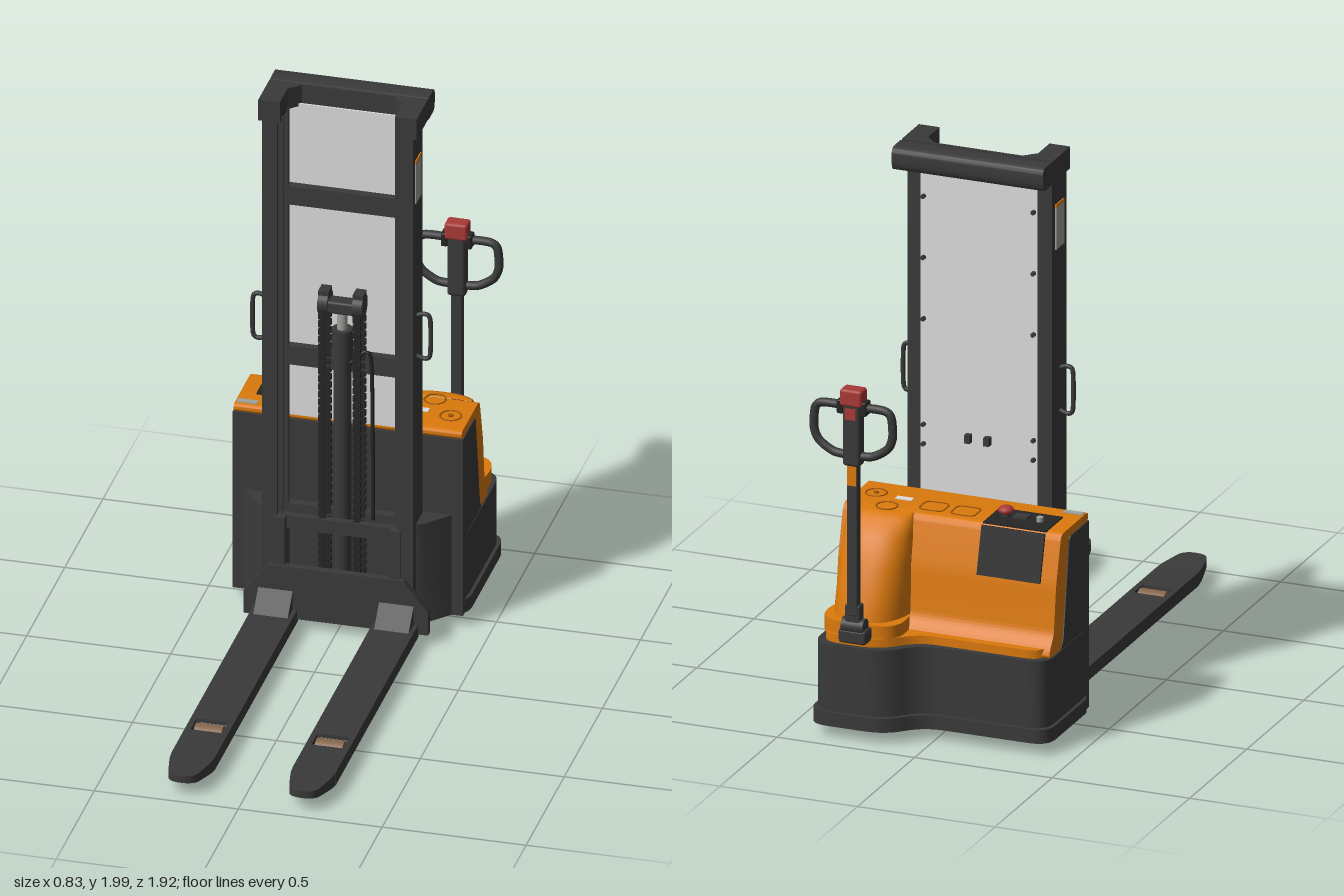
import * as THREE from 'three';
import { mergeGeometries, toCreasedNormals } from 'three/addons/utils/BufferGeometryUtils.js';
import { RoundedBoxGeometry } from 'three/addons/geometries/RoundedBoxGeometry.js';

const paint = (name, color, side = THREE.FrontSide) => {
  const m = new THREE.MeshStandardMaterial({ color, side });
  m.name = name;
  return m;
};

export function createModel() {
  const root = new THREE.Group();
  root.name = 'palletStacker';
  const dark = paint('charcoal', 0x3a3a3a);
  const black = paint('black', 0x262626);
  const orange = paint('orange', 0xdc7a0c);
  const seam = paint('seamOrange', 0x9a5508);
  const clear = paint('paleScreen', 0xdedede);
  const grey = paint('labelGrey', 0xa0a09c);
  const red = paint('red', 0xa83a36);
  const brown = paint('rollerBrown', 0x86664c);

  const add = (name, geo, mat, x = 0, y = 0, z = 0) => {
    const m = new THREE.Mesh(geo, mat);
    m.name = name;
    m.position.set(x, y, z);
    root.add(m);
    return m;
  };
  // Box given by its limits
  const box = (name, mat, x0, x1, y0, y1, z0, z1, r = 0) => {
    const s = [x1 - x0, y1 - y0, z1 - z0];
    const g = r ? new RoundedBoxGeometry(...s, 2, r) : new THREE.BoxGeometry(...s);
    return add(name, g, mat, (x0 + x1) / 2, (y0 + y1) / 2, (z0 + z1) / 2);
  };
  const cylX = (name, mat, r, w, x, y, z) =>
    add(name, new THREE.CylinderGeometry(r, r, w, 28).rotateZ(Math.PI / 2), mat, x, y, z);
  const cylY = (name, mat, r, y0, y1, x, z) =>
    add(name, new THREE.CylinderGeometry(r, r, y1 - y0, 24), mat, x, (y0 + y1) / 2, z);
  // Polygon with rounded corners
  const rounded = (pts, r) => {
    const s = new THREE.Shape(), n = pts.length;
    const v = pts.map(p => new THREE.Vector2(...p));
    v.forEach((p, i) => {
      const a = v[(i + n - 1) % n], b = v[(i + 1) % n];
      const k = Math.min(r, p.distanceTo(a) / 2.1, p.distanceTo(b) / 2.1);
      const s0 = p.clone().add(a.clone().sub(p).setLength(k));
      const s1 = p.clone().add(b.clone().sub(p).setLength(k));
      i ? s.lineTo(s0.x, s0.y) : s.moveTo(s0.x, s0.y);
      s.quadraticCurveTo(p.x, p.y, s1.x, s1.y);
    });
    s.closePath();
    return s;
  };
  const poly = pts => new THREE.Shape(pts.map(p => new THREE.Vector2(...p)));
  const extrude = (shape, depth) =>
    toCreasedNormals(new THREE.ExtrudeGeometry(shape, { depth, bevelEnabled: false, curveSegments: 8 }), 0.6);
  // Plan shapes are drawn as (x, -z), side shapes as (-z, y)
  const plan = (shape, y0, y1) => extrude(shape, y1 - y0).rotateX(-Math.PI / 2).translate(0, y0, 0);
  const side = (shape, x0, x1) => extrude(shape, x1 - x0).rotateY(Math.PI / 2).translate(x0, 0, 0);
  const tube = (pts, r, closed = false) => new THREE.TubeGeometry(
    new THREE.CatmullRomCurve3(pts.map(p => new THREE.Vector3(...p)), closed, 'catmullrom', 0.4), 40, r, 10, closed);

  // Chassis, bumper and orange skirt share one outline with an offset
  const outline = o => rounded([[-0.4 - o, 0.44], [0.4 + o, 0.44], [0.4 + o, 0.925 + o], [0.15 - o, 0.925 + o],
    [0.05 - o, 0.815 + o], [-0.4 - o, 0.815 + o]], 0.07);
  add('chassis', plan(outline(0.002), 0.06, 0.34), dark);
  add('bumper', plan(outline(0.014), 0.05, 0.1), dark);
  add('underside', plan(outline(-0.02), 0.04, 0.05), black);
  add('hoodSkirt', plan(outline(-0.018), 0.34, 0.37), orange);

  // Dark front cowl and orange hood
  add('frontCowl', side(poly([[0.435, 0.05], [0.68, 0.05], [0.68, 0.34], [0.66, 0.37], [0.605, 0.71], [0.595, 0.72],
    [0.435, 0.72]]), -0.4, 0.4), dark);
  add('hood', side(rounded([[0.435, 0.72], [0.58, 0.72], [0.58, 0.34], [0.78, 0.34], [0.765, 0.375], [0.735, 0.41],
    [0.715, 0.58], [0.67, 0.75], [0.435, 0.75]], 0.025), -0.396, 0.396), orange);

  // Bulged motor cover, lofted downward from the hood top
  const levels = [[0.749, 0.66, 0.115], [0.749, 0.69, 0.115], [0.735, 0.725, 0.12], [0.68, 0.775, 0.125],
    [0.58, 0.825, 0.13], [0.48, 0.86, 0.134], [0.41, 0.88, 0.136], [0.36, 0.885, 0.137]];
  const pos = [], idx = [], N = 28;
  levels.forEach(([y, back, hw], i) => {
    for (let j = 0; j <= N; j++) {
      const a = Math.PI * j / N, c = Math.cos(a);
      pos.push(0.258 - Math.sign(c) * Math.abs(c) ** 0.8 * hw, y, -0.655 - (back - 0.655) * Math.sin(a) ** 0.75);
      if (i && j < N) {
        const p = (i - 1) * (N + 1) + j, q = p + N + 1;
        idx.push(p, p + 1, q, p + 1, q + 1, q);
      }
    }
  });
  const bulge = new THREE.BufferGeometry();
  bulge.setAttribute('position', new THREE.Float32BufferAttribute(pos, 3));
  bulge.setIndex(idx);
  add('motorCover', toCreasedNormals(bulge, 0.8), orange);
  add('motorCoverCollar', plan(rounded([[0.115, 0.7], [0.398, 0.7], [0.398, 0.895], [0.115, 0.895]], 0.11), 0.36, 0.415), orange);

  // Hood details
  box('controlPanelTop', black, -0.34, -0.11, 0.748, 0.754, -0.665, -0.52);
  const flap = box('controlPanelBack', black, -0.34, -0.11, -0.085, 0.085, -0.004, 0.004);
  flap.position.set(-0.225, 0.665, -0.698);
  flap.rotation.x = 0.26;
  box('controlDisplay', dark, -0.24, -0.19, 0.754, 0.762, -0.6, -0.56);
  cylY('keySwitch', grey, 0.012, 0.75, 0.77, -0.285, -0.59);
  cylY('stopButtonStem', dark, 0.014, 0.75, 0.772, -0.16, -0.585);
  add('stopButton', new THREE.SphereGeometry(0.027, 20, 12).scale(1, 0.6, 1), red, -0.16, 0.776, -0.585);
  for (const x of [-0.015, 0.1]) {
    const t = rounded([[x - 0.046, 0.545], [x + 0.046, 0.545], [x + 0.046, 0.63], [x - 0.046, 0.63]], 0.025);
    t.holes.push(rounded([[x - 0.041, 0.55], [x + 0.041, 0.55], [x + 0.041, 0.625], [x - 0.041, 0.625]], 0.022));
    add('trayOutline', plan(t, 0.747, 0.752), seam);
  }
  for (const [x, z] of [[0.25, -0.64], [0.33, -0.54]])
    add('fillerCapRing', new THREE.TorusGeometry(0.036, 0.003, 6, 32).rotateX(Math.PI / 2), seam, x, 0.75, z);
  cylY('fillerCap', seam, 0.009, 0.748, 0.754, 0.33, -0.54);
  box('hoodLabel', clear, 0.19, 0.25, 0.749, 0.753, -0.57, -0.545);
  box('cornerLabel', grey, -0.39, -0.32, 0.749, 0.753, -0.475, -0.45);

  // Wheels under the chassis
  for (const [x, z] of [[0.18, -0.75], [-0.2, -0.62]]) {
    box('wheelWell', dark, x - 0.09, x + 0.09, 0.036, 0.042, z - 0.08, z + 0.08);
    cylX('wheel', grey, 0.07, 0.07, x, 0.078, z);
  }

  // Mast: paired channels, brackets, grips and side labels
  for (const s of [-1, 1]) {
    const C = (o, i, f, b, t) => poly([[o, f], [o, b], [i, b], [i, b - t], [o - t, b - t], [o - t, f + t], [i, f + t], [i, f]]
      .map(([x, z]) => [x * s, z]));
    add('outerChannel', plan(C(0.262, 0.21, 0.3, 0.43, 0.014), 0.04, 1.95), dark);
    add('innerChannel', plan(C(0.243, 0.195, 0.32, 0.41, 0.012), 0.06, 1.93), dark);
    add('mastBracket', plan(poly([[0.37, 0.445], [0.285, 0.35], [0.26, 0.34], [0.26, 0.445]].map(([x, z]) => [x * s, z])), 0.05, 0.43), dark);
    add('mastGrip', tube([[s * 0.255, 1.22, -0.355], [s * 0.29, 1.23, -0.355], [s * 0.308, 1.21, -0.355],
      [s * 0.308, 1.08, -0.355], [s * 0.29, 1.06, -0.355], [s * 0.255, 1.07, -0.355]], 0.008), dark);
    const x = s * 0.263;
    box('mastLabel', grey, x - 0.003, x + 0.003, 1.66, 1.81, -0.4, -0.33);
    box('mastLabelStripe', orange, x - 0.003, x + 0.003, 1.81, 1.822, -0.4, -0.33);
    for (const y of [1.8, 1.58, 1.36, 0.98, 0.91])
      add('screenBolt', new THREE.CylinderGeometry(0.008, 0.008, 0.016, 10).rotateX(Math.PI / 2), dark, s * 0.2, y, -0.442);
    box('carriageGuide', dark, s * 0.2 - 0.02, s * 0.2 + 0.02, 0.2, 0.42, -0.34, -0.288);
  }
  add('mastCap', plan(poly([[-0.275, 0.3], [-0.2, 0.3], [-0.2, 0.4], [-0.16, 0.44], [0.16, 0.44], [0.2, 0.4], [0.2, 0.3],
    [0.275, 0.3], [0.275, 0.45], [-0.275, 0.45]]), 1.92, 1.998), dark);
  add('mastCapBeam', side(rounded([[0.44, 1.915], [0.53, 1.915], [0.54, 1.94], [0.54, 1.998], [0.44, 1.998]], 0.03), -0.275, 0.275), dark);
  for (const [a, b] of [[1.56, 1.63], [0.95, 1.02], [0.37, 0.42]])
    box('mastCrossbar', dark, -0.215, 0.215, a, b, -0.425, -0.395);
  box('mastScreen', clear, -0.212, 0.212, 0.74, 1.93, -0.437, -0.431);
  for (const x of [-0.035, 0.035]) box('hoseClip', dark, x - 0.01, x + 0.01, 0.94, 0.97, -0.46, -0.437);

  // Lift cylinder with chain head
  cylY('liftCylinder', dark, 0.03, 0.08, 1.02, 0, -0.365);
  cylY('cylinderCollar', dark, 0.036, 1.02, 1.13, 0, -0.365);
  cylY('piston', grey, 0.018, 1.1, 1.2, 0, -0.365);
  box('chainHead', dark, -0.08, 0.08, 1.195, 1.24, -0.39, -0.335, 0.008);
  const links = [];
  for (const x of [-0.06, 0.06]) {
    cylX('chainRoller', dark, 0.042, 0.034, x, 1.225, -0.365);
    box('rollerGuard', dark, x - 0.018, x + 0.018, 1.23, 1.275, -0.39, -0.34);
    for (const z of [-0.325, -0.4])
      for (let y = 0.2; y < 1.22; y += 0.03)
        links.push(new THREE.BoxGeometry(0.026, 0.021, 0.012).translate(x, y, z),
          new THREE.BoxGeometry(0.014, 0.014, 0.008).translate(x, y + 0.015, z));
  }
  add('liftChains', mergeGeometries(links), black);
  add('hydraulicHose', tube([[0.025, 1.0, -0.36], [0.09, 1.05, -0.37], [0.1, 0.9, -0.38], [0.1, 0.4, -0.39]], 0.007), black);

  // Fork carriage
  box('carriageBar', dark, -0.21, 0.21, 0.37, 0.42, -0.335, -0.31);
  add('carriagePlate', extrude(poly([[-0.32, 0.045], [0.32, 0.045], [0.32, 0.13], [0.235, 0.24], [-0.235, 0.24],
    [-0.32, 0.13]]), 0.026), dark, 0, 0, -0.306);

  // Forks: slotted top plate, side skirts, tapered nose and load roller
  for (const s of [-1, 1]) {
    const c = s * 0.21;
    const top = poly([[-0.075, 0.29], [-0.075, -0.8], [0.075, -0.8], [0.075, 0.29]]);
    top.holes.push(poly([[-0.055, -0.545], [0.055, -0.545], [0.055, -0.625], [-0.055, -0.625]]));
    add('forkPlate', plan(top, 0.066, 0.08), dark, c);
    for (const e of [-1, 1])
      box('forkSkirt', dark, c + e * 0.068 - 0.007, c + e * 0.068 + 0.007, 0.032, 0.07, -0.29, 0.8);
    const nose = plan(rounded([[-0.075, -0.78], [-0.073, -0.83], [-0.045, -0.96], [0.045, -0.96], [0.073, -0.83],
      [0.075, -0.78]], 0.05), 0.032, 0.08);
    const p = nose.attributes.position;
    for (let i = 0; i < p.count; i++) {
      const t = Math.max(0, (p.getZ(i) - 0.8) / 0.16);
      p.setY(i, p.getY(i) + t * (p.getY(i) < 0.05 ? 0.026 : 0.004));
    }
    add('forkNose', toCreasedNormals(nose, 0.6), dark, c);
    add('forkHeel', side(poly([[0.29, 0.075], [0.21, 0.075], [0.29, 0.16]]), c - 0.06, c + 0.06), dark);
    cylX('loadRoller', brown, 0.036, 0.096, c, 0.046, 0.585);
    cylX('rollerAxle', dark, 0.01, 0.14, c, 0.046, 0.585);
  }

  // Tiller arm with looped handle
  const tx = 0.25;
  box('tillerBase', dark, tx - 0.05, tx + 0.05, 0.36, 0.41, -0.95, -0.87, 0.01);
  cylX('tillerPivot', dark, 0.028, 0.08, tx, 0.42, -0.925);
  box('tillerKnuckle', dark, tx - 0.028, tx + 0.028, 0.4, 0.5, -0.946, -0.906, 0.008);
  box('tillerArm', dark, tx - 0.02, tx + 0.02, 0.46, 1.06, -0.948, -0.916, 0.006);
  box('tillerDecal', orange, tx - 0.017, tx + 0.017, 0.93, 1.0, -0.951, -0.947);
  box('tillerHead', dark, tx - 0.032, tx + 0.032, 1.0, 1.235, -0.958, -0.908, 0.012);
  for (const s of [-1, 1]) {
    add('handleLoop', tube([[0, 1.035], [0.07, 1.04], [0.125, 1.075], [0.143, 1.12], [0.138, 1.19], [0.115, 1.21], [0.06, 1.212],
      [0, 1.205]].map(([x, y]) => [tx + s * x, y, -0.935]), 0.015), dark);
    box('thumbSwitch', black, tx + s * 0.042 - 0.012, tx + s * 0.042 + 0.012, 1.185, 1.235, -0.955, -0.91, 0.006);
  }
  box('bellyButton', red, tx - 0.04, tx + 0.04, 1.215, 1.277, -0.962, -0.905, 0.01);
  box('handleButton', red, tx - 0.02, tx + 0.02, 1.17, 1.21, -0.962, -0.956);
  return root;
}
